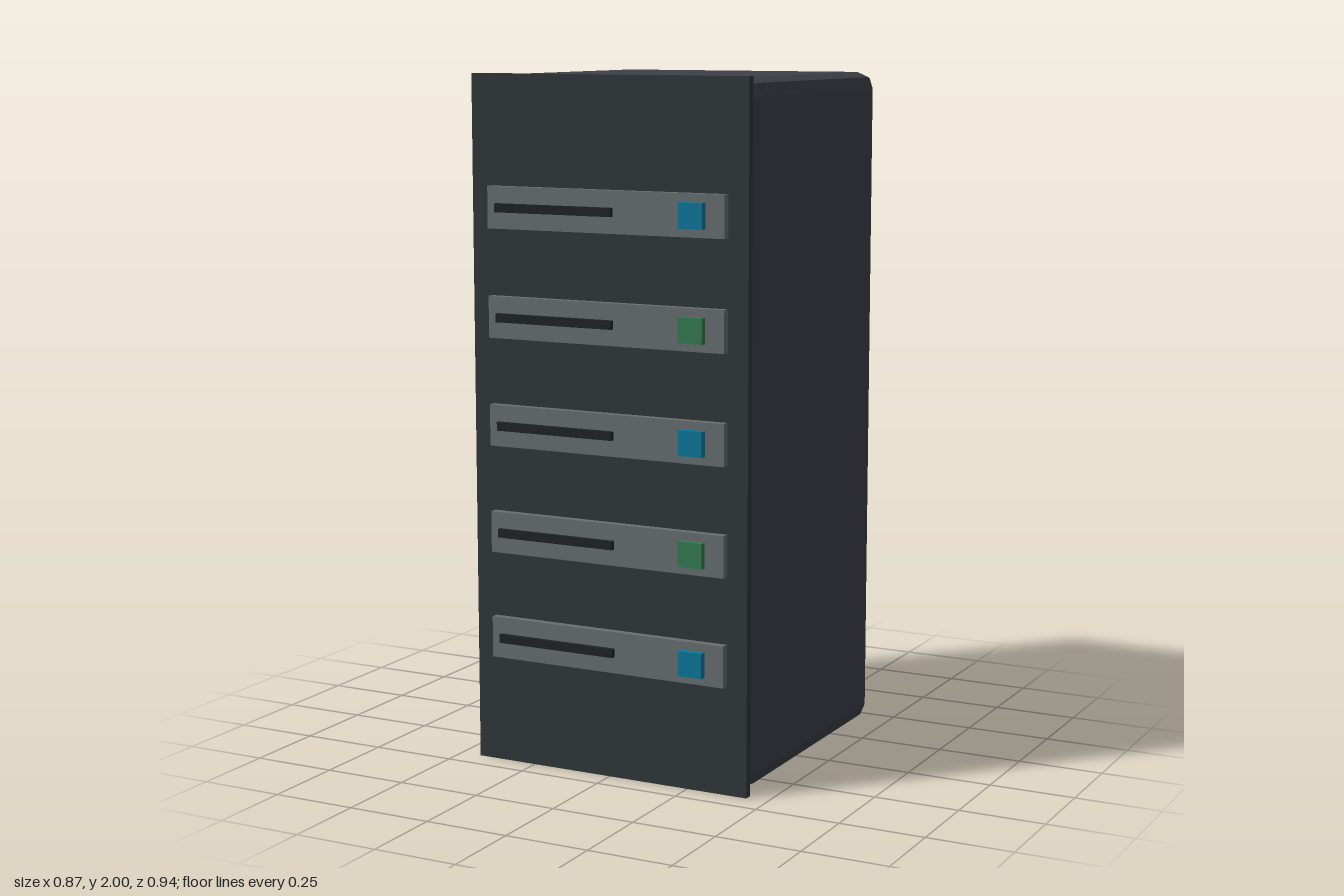
import * as THREE from 'three';
import { RoundedBoxGeometry } from 'three/addons/geometries/RoundedBoxGeometry.js';

const material = (color, flatShading = false) => new THREE.MeshStandardMaterial({ color, flatShading });

function addPart(parent, name, geometry, mat, x, y, z) {
  const mesh = new THREE.Mesh(geometry, mat);
  mesh.name = name;
  mesh.position.set(x, y, z);
  parent.add(mesh);
  return mesh;
}

export function createModel() {
  const model = new THREE.Group();
  model.name = 'serverCabinet';

  const bodyMat = material(0x3e4149, true);
  const panelMat = material(0x30383b);
  const bayMat = material(0x676e72);
  const darkMat = material(0x202427);
  const blueMat = material(0x0d789c);
  const greenMat = material(0x347a50);

  // Cabinet with bevelled edges, and the front panel standing just clear of it
  addPart(model, 'cabinet', new RoundedBoxGeometry(0.87, 1.99, 0.87, 1, 0.05), bodyMat, 0, 1, -0.035);
  addPart(model, 'frontPanel', new THREE.BoxGeometry(0.872, 2, 0.024), panelMat, 0, 1, 0.415);

  // Five drive bays, each with a dark slot and an indicator light
  const bayGeo = new THREE.BoxGeometry(0.748, 0.12, 0.024);
  const slotGeo = new THREE.BoxGeometry(0.374, 0.025, 0.016);
  const lightGeo = new THREE.BoxGeometry(0.074, 0.072, 0.022);
  for (let i = 0; i < 5; i++) {
    const bay = new THREE.Group();
    bay.name = `driveBay${i + 1}`;
    bay.position.set(0, 0.375 + i * 0.3125, 0.438);
    addPart(bay, 'bayFace', bayGeo, bayMat, 0, 0, 0);
    addPart(bay, 'slot', slotGeo, darkMat, -0.157, 0, 0.017);
    addPart(bay, 'indicatorLight', lightGeo, i % 2 ? greenMat : blueMat, 0.279, 0, 0.021);
    model.add(bay);
  }

  // Four round feet, almost flush with the underside
  const footGeo = new THREE.CylinderGeometry(0.06, 0.06, 0.04, 16);
  for (const x of [-0.3, 0.3]) {
    for (const z of [-0.34, 0.32]) addPart(model, 'foot', footGeo, darkMat, x, 0.023, z);
  }

  return model;
}
